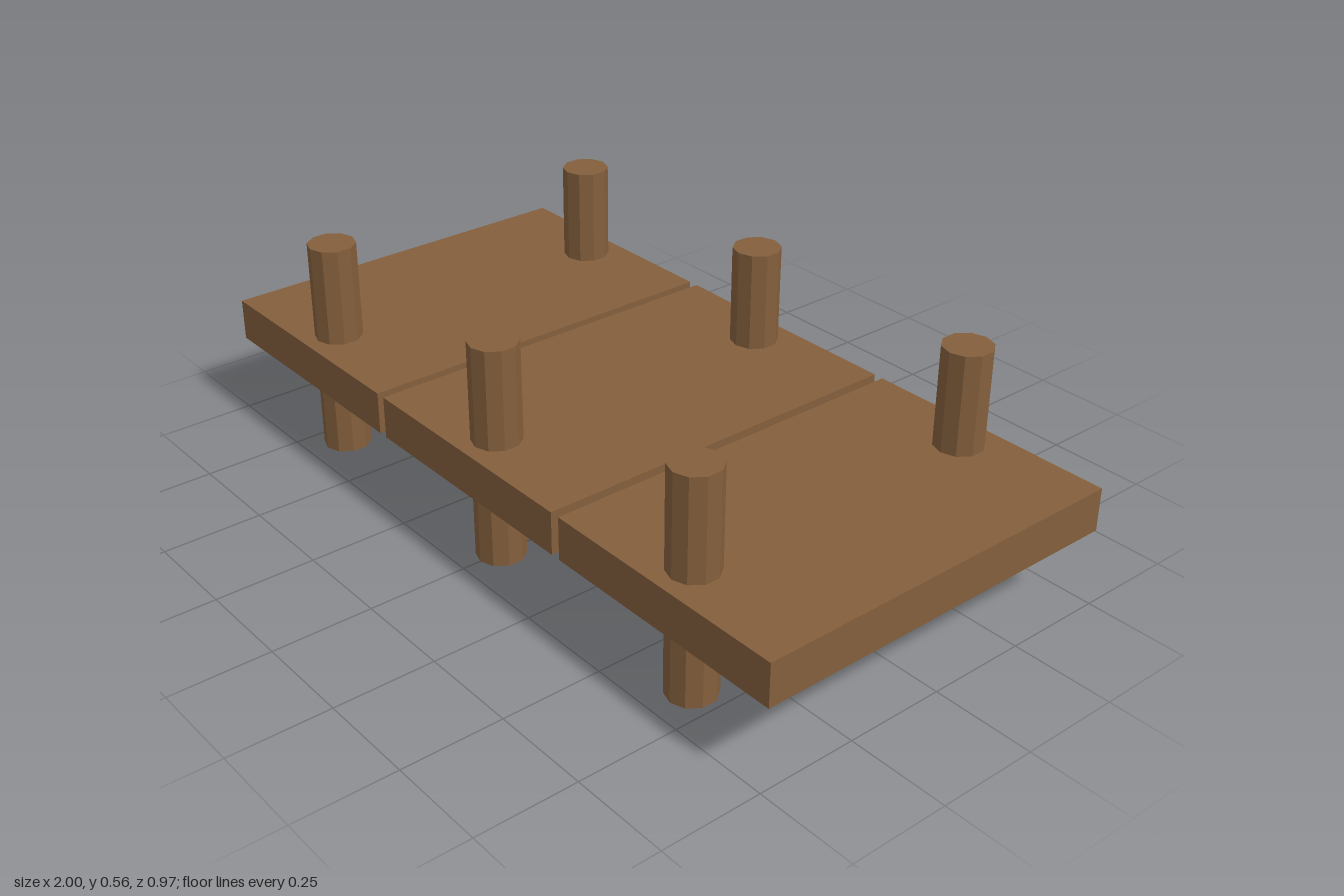
import * as THREE from 'three';

export function createModel() {
  const group = new THREE.Group();
  const wood = new THREE.MeshStandardMaterial({ color: 0x845f3c, flatShading: true });
  wood.name = 'brown wood';

  const slabGeometry = new THREE.BoxGeometry(0.65, 0.107, 0.974);
  const postGeometry = new THREE.CylinderGeometry(0.06, 0.06, 0.555, 10);

  const add = (name, geometry, x, y, z) => {
    const mesh = new THREE.Mesh(geometry, wood);
    mesh.name = name;
    mesh.position.set(x, y, z);
    group.add(mesh);
  };

  // Three separate slabs, each pierced by a front and a back post
  for (const [side, x] of [['right', -0.675], ['middle', 0], ['left', 0.675]]) {
    add(`${side}Slab`, slabGeometry, x, 0.2525, 0);
    add(`${side}FrontPost`, postGeometry, x, 0.2775, 0.393);
    add(`${side}BackPost`, postGeometry, x, 0.2775, -0.393);
  }
  return group;
}
